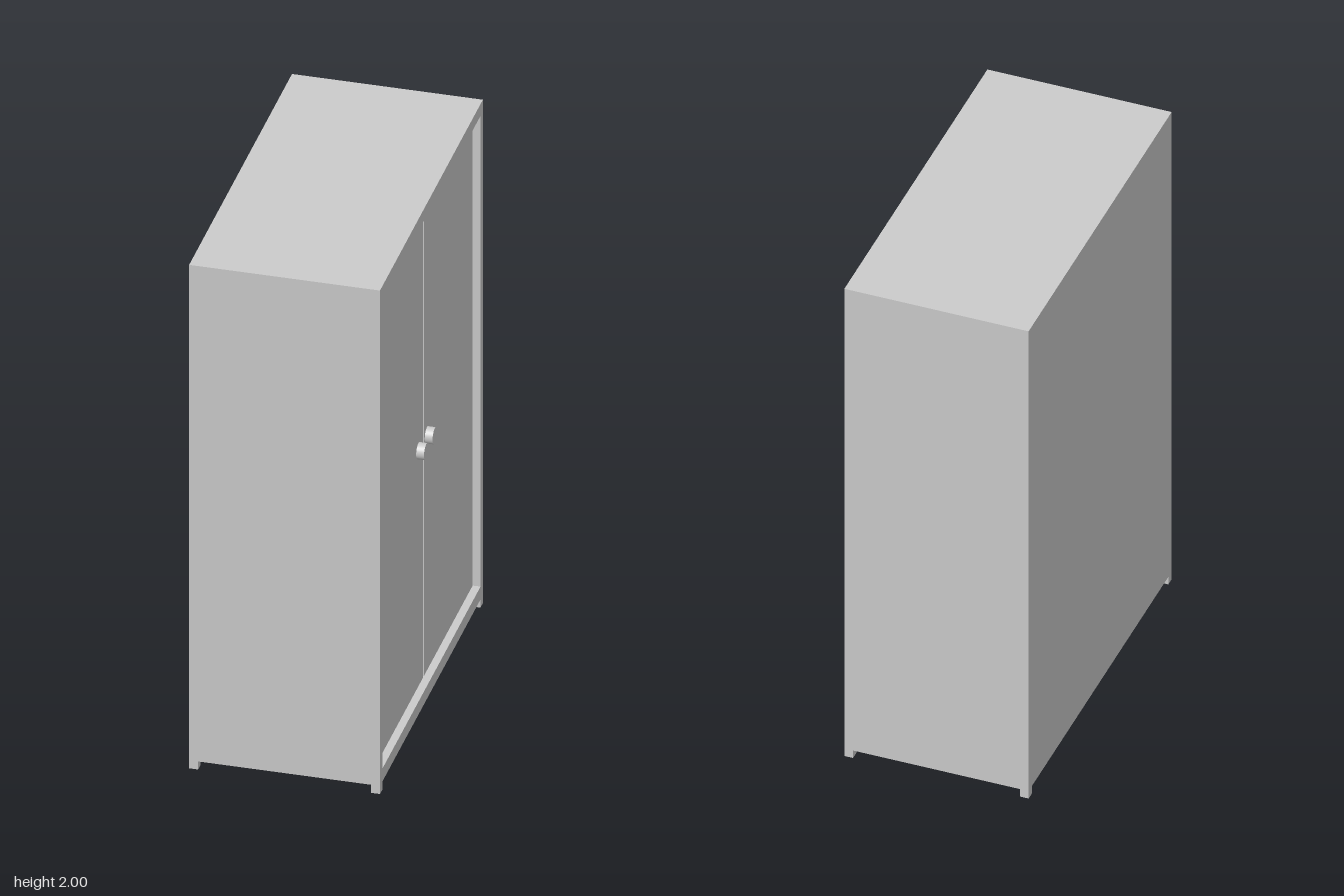
import * as THREE from 'three';

const material = new THREE.MeshStandardMaterial({ color: 0xcccccc });

// Overall half depth (x), half width (z), height and panel sizes
const HX = 0.34, HZ = 0.68, H = 2;
const WALL = 0.031, FOOT = 0.032;
const INNER_BOTTOM = 0.083, INNER_TOP = 1.953;
const DOOR_FACE = 0.312, DOOR_THICK = 0.03;

// Box given by its minimum and maximum corners
function panel(name, [x0, y0, z0], [x1, y1, z1]) {
  const mesh = new THREE.Mesh(new THREE.BoxGeometry(x1 - x0, y1 - y0, z1 - z0), material);
  mesh.position.set((x0 + x1) / 2, (y0 + y1) / 2, (z0 + z1) / 2);
  mesh.name = name;
  return mesh;
}

function createCarcass() {
  const carcass = new THREE.Group();
  carcass.name = 'carcass';
  const inner = HZ - WALL;
  carcass.add(
    panel('topPanel', [-HX, INNER_TOP, -HZ], [HX, H, HZ]),
    panel('bottomPanel', [-HX, FOOT, -HZ], [HX, INNER_BOTTOM, HZ]),
    panel('sidePanelNear', [-HX, INNER_BOTTOM, inner], [HX, INNER_TOP, HZ]),
    panel('sidePanelFar', [-HX, INNER_BOTTOM, -HZ], [HX, INNER_TOP, -inner]),
    panel('backPanel', [-HX, INNER_BOTTOM, -inner], [-HX + WALL, INNER_TOP, inner])
  );
  return carcass;
}

// Recessed door with a round knob near its free edge
function createDoor(name, z0, z1, knobZ) {
  const door = new THREE.Group();
  door.name = name;
  door.add(panel('doorPanel',
    [DOOR_FACE - DOOR_THICK, INNER_BOTTOM, z0], [DOOR_FACE, INNER_TOP, z1]));

  const length = HX - DOOR_FACE;
  const knob = new THREE.Mesh(new THREE.CylinderGeometry(0.03, 0.03, length, 32), material);
  knob.name = 'knob';
  knob.rotation.z = -Math.PI / 2;
  knob.position.set(DOOR_FACE + length / 2, 1.019, knobZ);
  door.add(knob);
  return door;
}

export function createModel() {
  const cabinet = new THREE.Group();
  cabinet.name = 'cabinet';
  cabinet.add(createCarcass());

  // Pair of doors with a narrow gap between them
  const inner = HZ - WALL;
  cabinet.add(
    createDoor('doorNear', 0.01, inner, 0.068),
    createDoor('doorFar', -inner, -0.004, -0.045)
  );

  // Small square feet flush with the corners
  for (const sx of [-1, 1]) {
    for (const sz of [-1, 1]) {
      const foot = new THREE.Mesh(new THREE.BoxGeometry(FOOT, FOOT, FOOT), material);
      foot.name = 'foot';
      foot.position.set(sx * (HX - FOOT / 2), FOOT / 2, sz * (HZ - FOOT / 2));
      cabinet.add(foot);
    }
  }
  return cabinet;
}
